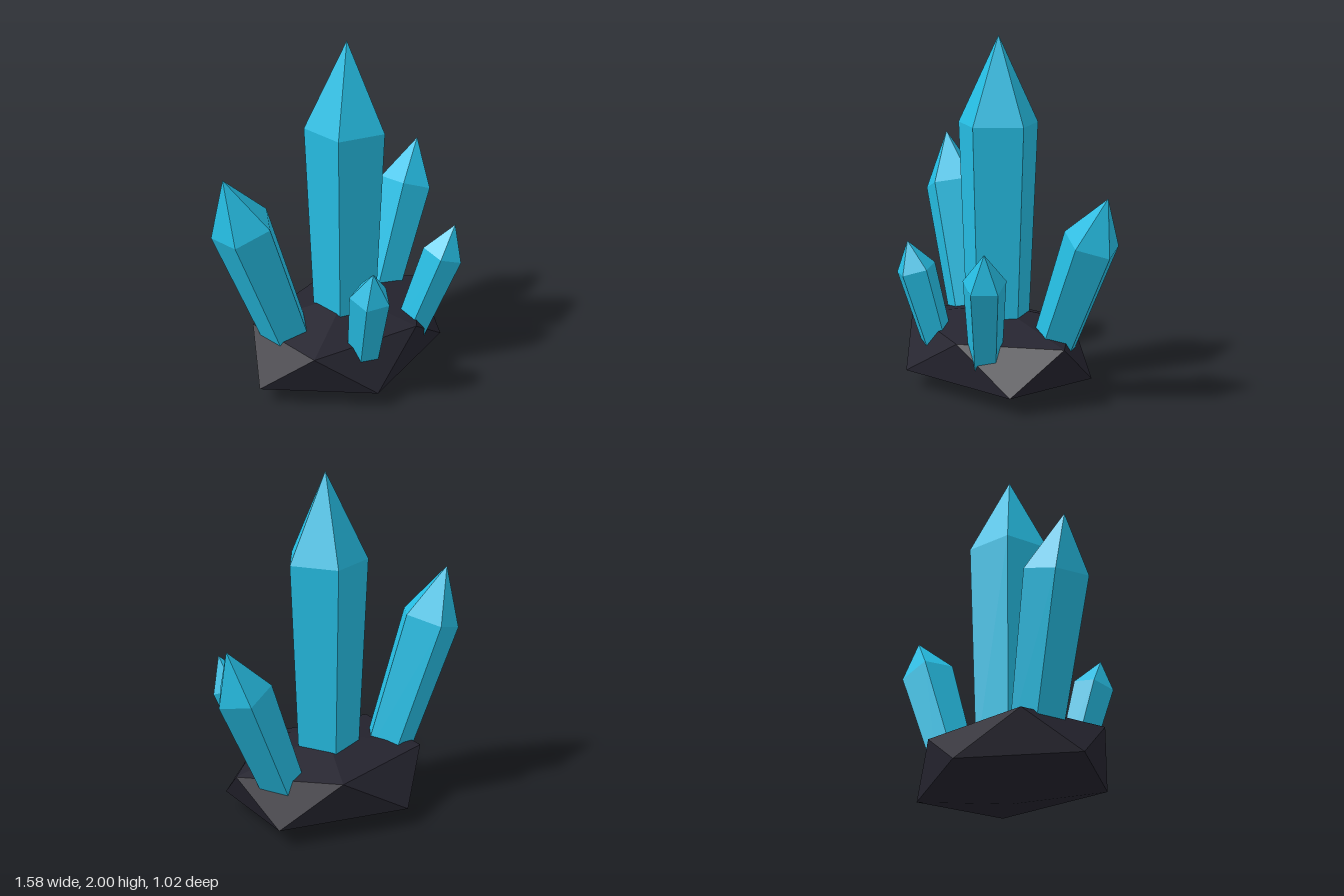
import * as THREE from 'three';
import { mergeGeometries } from 'three/addons/utils/BufferGeometryUtils.js';
import { ConvexGeometry } from 'three/addons/geometries/ConvexGeometry.js';

const SIDES = 5;
const UP = new THREE.Vector3(0, 1, 0);

// Faceted five-sided crystal: a shaft widening upward, closed by a pointed tip
function crystalGeometry(base, tip, bottomRadius, topRadius, tipLength) {
  const start = new THREE.Vector3(...base);
  const axis = new THREE.Vector3(...tip).sub(start);
  const shaftLength = axis.length() - tipLength;
  const turn = Math.PI / 2;
  const shaft = new THREE.CylinderGeometry(topRadius, bottomRadius, shaftLength, SIDES, 1, true, turn);
  shaft.translate(0, shaftLength / 2, 0);
  const point = new THREE.ConeGeometry(topRadius, tipLength, SIDES, 1, true, turn);
  point.translate(0, shaftLength + tipLength / 2, 0);
  const foot = new THREE.CircleGeometry(bottomRadius, SIDES);
  foot.rotateX(Math.PI / 2);
  const geometry = mergeGeometries([shaft, point, foot]).toNonIndexed();
  geometry.applyQuaternion(new THREE.Quaternion().setFromUnitVectors(UP, axis.normalize()));
  geometry.translate(start.x, start.y, start.z);
  geometry.computeVertexNormals();
  return geometry;
}

export function createModel() {
  const model = new THREE.Group();
  model.name = 'crystalCluster';

  const crystalBlue = new THREE.MeshStandardMaterial({ color: 0x26bee4 });
  crystalBlue.name = 'crystalBlue';
  const darkRock = new THREE.MeshStandardMaterial({ color: 0x25242f });
  darkRock.name = 'darkRock';

  // Rock: two offset rings of five corners between a low and a high pole
  const corners = [
    [-0.02, 0, -0.02], [0, 0.455, -0.02],
    [-0.675, 0.1, -0.02], [-0.23, 0.1, -0.51], [0.51, 0.1, -0.3], [0.51, 0.1, 0.27], [-0.22, 0.1, 0.47],
    [0.61, 0.345, -0.02], [0.17, 0.34, -0.43], [0.17, 0.34, 0.385], [-0.5, 0.34, 0.25], [-0.5, 0.34, -0.28],
  ].map((p) => new THREE.Vector3(...p));
  const rock = new THREE.Mesh(new ConvexGeometry(corners), darkRock);
  rock.name = 'rockBase';
  model.add(rock);

  // Crystals: base, tip, bottom radius, shoulder radius, tip length
  const crystals = {
    centreCrystal: [[-0.003, 0.25, -0.02], [0.003, 2, -0.02], 0.187, 0.236, 0.49],
    rightCrystal: [[-0.352, 0.2, -0.097], [-0.752, 1.37, -0.17], 0.14, 0.18, 0.325],
    leftCrystal: [[0.345, 0.2, -0.125], [0.75, 1.18, -0.19], 0.125, 0.16, 0.277],
    frontRightCrystal: [[-0.157, 0.2, 0.28], [-0.236, 0.855, 0.44], 0.09, 0.117, 0.17],
    frontLeftCrystal: [[0.25, 0.2, 0.245], [0.457, 0.902, 0.4], 0.094, 0.122, 0.19],
  };
  for (const [name, spec] of Object.entries(crystals)) {
    const crystal = new THREE.Mesh(crystalGeometry(...spec), crystalBlue);
    crystal.name = name;
    model.add(crystal);
  }
  return model;
}
